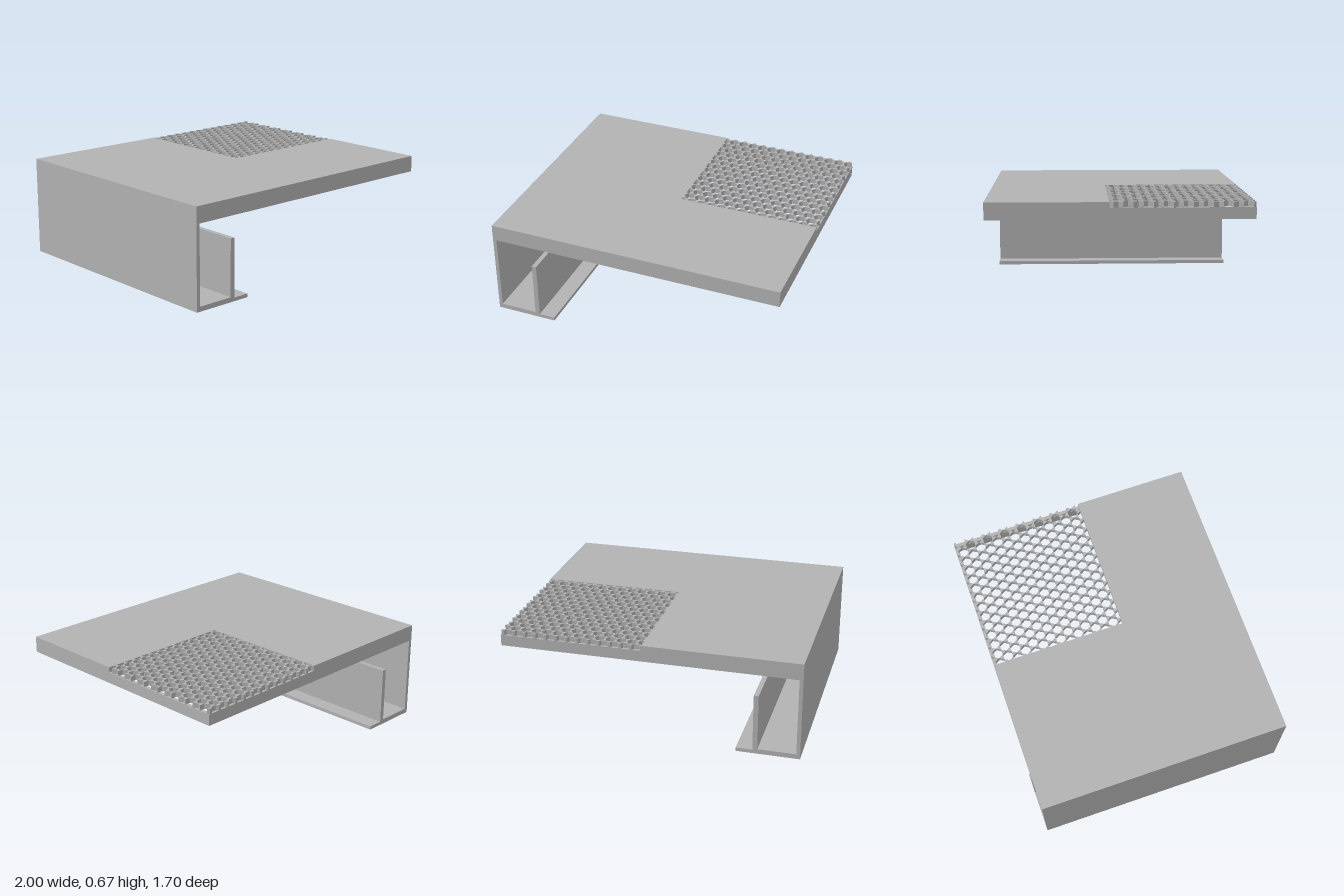
import * as THREE from 'three';
import { mergeGeometries } from 'three/addons/utils/BufferGeometryUtils.js';

const HALF_X = 1, HALF_Z = 0.848;
const RIM_BOTTOM = 0.56, DECK_BOTTOM = 0.635, TOP = 0.67;
const GRILLE_X = 0.043, GRILLE_Z = 0.07;

const shapeOf = (pts) => new THREE.Shape(pts.map(([x, y]) => new THREE.Vector2(x, y)));

// Extrude an outline given in (x, -z) upwards from y0 to y1
function slab(shape, y0, y1) {
  const g = new THREE.ExtrudeGeometry(shape, { depth: y1 - y0, bevelEnabled: false });
  return g.rotateX(-Math.PI / 2).translate(0, y0, 0);
}

// Keep the part of a polygon on one side of an axis-aligned line
function clip(poly, axis, limit, sign) {
  const out = [];
  poly.forEach((a, i) => {
    const b = poly[(i + 1) % poly.length];
    const da = (a[axis] - limit) * sign, db = (b[axis] - limit) * sign;
    if (da >= 0) out.push(a);
    if (da * db < 0) {
      const t = da / (da - db);
      out.push([a[0] + (b[0] - a[0]) * t, a[1] + (b[1] - a[1]) * t]);
    }
  });
  return out;
}

// Triangular struts meeting at their points, leaving hexagonal holes
function grilleGeometry() {
  const r = 0.0361, h = r * Math.sqrt(3), parts = [];
  for (let k = -1; k <= 14; k++) {
    const z = -0.8 + k * h;
    const start = GRILLE_X + (k % 2 ? 0 : r);
    for (let n = -1; n < 15; n++) {
      const x = start + n * 2 * r;
      for (const s of [-1, 1]) {
        let p = [[x, -z], [x - r / 2, -z + s * h / 2], [x + r / 2, -z + s * h / 2]];
        p = clip(p, 0, GRILLE_X, 1);
        p = clip(p, 0, HALF_X, -1);
        p = clip(p, 1, -GRILLE_Z, 1);
        p = clip(p, 1, HALF_Z, -1);
        const area = p.length > 2 ? Math.abs(THREE.ShapeUtils.area(p.map(([a, b]) => ({ x: a, y: b })))) : 0;
        if (area > 1e-6) parts.push(slab(shapeOf(p), DECK_BOTTOM, TOP));
      }
    }
  }
  return mergeGeometries(parts);
}

export function createModel() {
  const group = new THREE.Group();
  const grey = new THREE.MeshStandardMaterial({ color: 0xb2b2b2 });
  grey.name = 'plainGrey';
  const add = (name, geometry) => {
    const mesh = new THREE.Mesh(geometry, grey);
    mesh.name = name;
    group.add(mesh);
  };

  // Flat deck with one corner cut out for the grille
  add('deck', slab(shapeOf([
    [-HALF_X, -HALF_Z], [HALF_X, -HALF_Z], [HALF_X, -GRILLE_Z],
    [GRILLE_X, -GRILLE_Z], [GRILLE_X, HALF_Z], [-HALF_X, HALF_Z],
  ]), DECK_BOTTOM, TOP));

  add('grille', grilleGeometry());

  // Thin rim hanging below the deck on all four sides
  const t = 0.025, ix = HALF_X - t, iz = HALF_Z - t;
  const rim = shapeOf([[-HALF_X, -HALF_Z], [HALF_X, -HALF_Z], [HALF_X, HALF_Z], [-HALF_X, HALF_Z]]);
  rim.holes.push(new THREE.Path([[-ix, -iz], [-ix, iz], [ix, iz], [ix, -iz]]
    .map(([x, y]) => new THREE.Vector2(x, y))));
  add('rim', slab(rim, RIM_BOTTOM, DECK_BOTTOM));

  // Side wall, floor, upright fin and lip as one profile along z
  const bracket = shapeOf([
    [-1, 0], [-0.58, 0], [-0.58, 0.024], [-0.69, 0.024], [-0.69, 0.415],
    [-0.722, 0.415], [-0.722, 0.033], [-0.975, 0.033], [-0.975, RIM_BOTTOM], [-1, RIM_BOTTOM],
  ]);
  add('sideBracket', new THREE.ExtrudeGeometry(bracket, { depth: 2 * HALF_Z, bevelEnabled: false })
    .translate(0, 0, -HALF_Z));

  return group;
}
